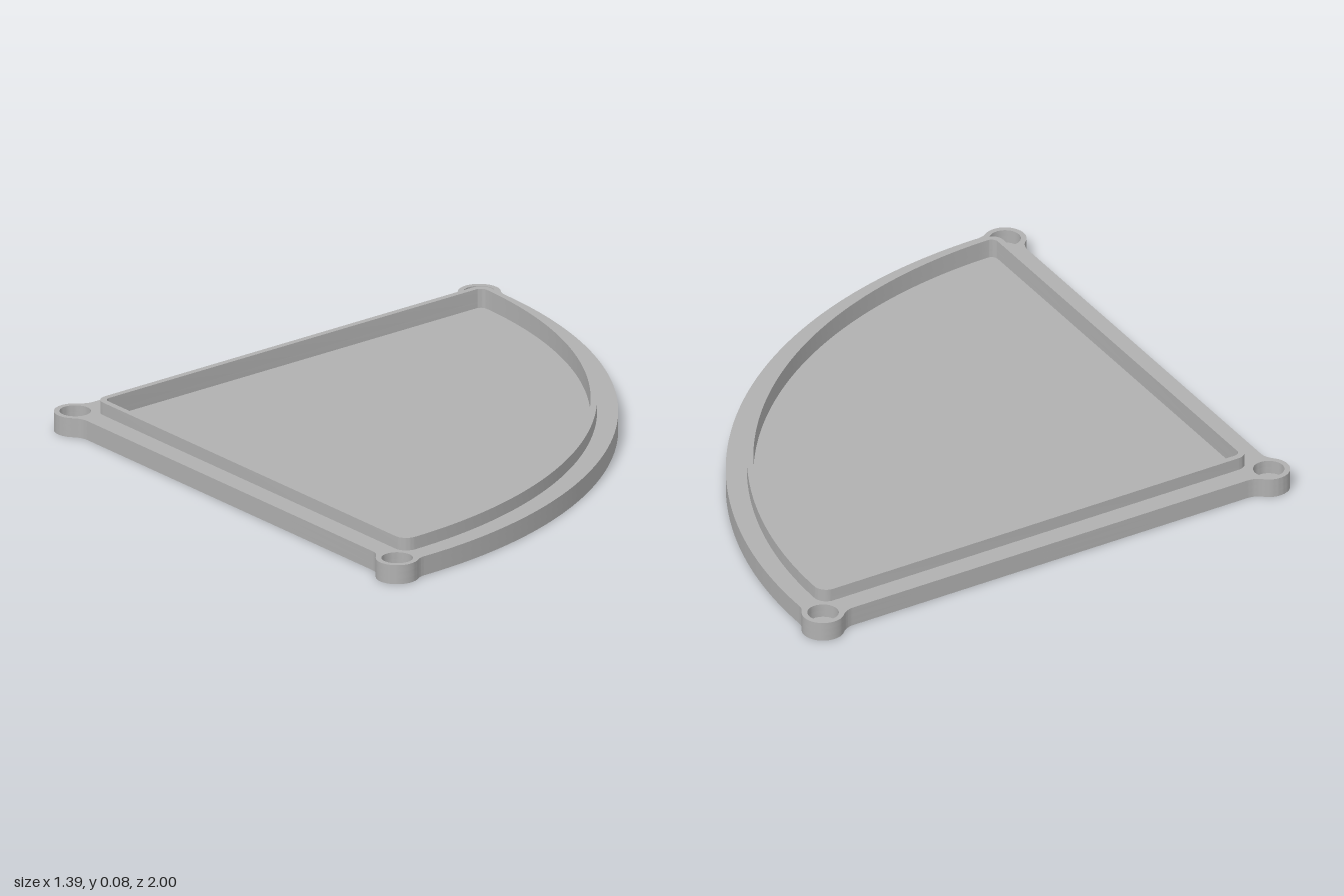
import * as THREE from 'three';
import { toCreasedNormals } from 'three/addons/utils/BufferGeometryUtils.js';

const V = (x, y) => new THREE.Vector2(x, y);
const A = V(-0.645, 0);            // apex hole centre
const C = V(0.256, 0.946);         // upper corner hole centre (mirrored for the lower one)
const theta = Math.atan2(C.y - A.y, C.x - A.x);
const D = A.distanceTo(C);
const u = V(Math.cos(theta), Math.sin(theta)); // along the straight edge
const n = V(-u.y, u.x);                        // outward from the straight edge
const angle = (from, to) => Math.atan2(to.y - from.y, to.x - from.x);
const at = (p, s, t) => V(p.x + s * u.x + t * n.x, p.y + s * u.y + t * n.y);

// Points on an arc from a0 to a1, turning in direction dir (1 = anticlockwise)
function arc(c, r, a0, a1, dir, steps) {
  while ((a1 - a0) * dir < 0) a1 += dir * 2 * Math.PI;
  while ((a1 - a0) * dir > 2 * Math.PI) a1 -= dir * 2 * Math.PI;
  return Array.from({ length: steps + 1 }, (_, i) => {
    const a = a0 + (a1 - a0) * i / steps;
    return V(c.x + r * Math.cos(a), c.y + r * Math.sin(a));
  });
}

// Close a half outline (from the +x axis round to the -x axis) by mirroring it
const mirrored = (half) =>
  half.concat(half.slice(1, -1).reverse().map((p) => V(p.x, -p.y)));

// Quarter-disc plate with a round boss blended into each corner
function plateOutline() {
  const R = 1.34, r = 0.053, f = 0.05, e = 0.02;
  const delta = Math.acos((D * D + (R + f) ** 2 - (r + f) ** 2) / (2 * D * (R + f)));
  const phi = theta - delta;
  const s = Math.sqrt((r + f) ** 2 - (e + f) ** 2);
  const F1 = V(A.x + (R + f) * Math.cos(phi), (R + f) * Math.sin(phi));
  const F2 = at(C, -s, e + f);
  const F3 = at(A, s, e + f);
  return mirrored([
    ...arc(A, R, 0, phi, 1, 40),
    ...arc(F1, f, phi + Math.PI, angle(F1, C), -1, 8).slice(1),
    ...arc(C, r, angle(C, F1), angle(C, F2), 1, 20).slice(1),
    ...arc(F2, f, angle(F2, C), theta - Math.PI / 2, -1, 8).slice(1),
    ...arc(F3, f, theta - Math.PI / 2, angle(F3, A), -1, 8),
    ...arc(A, r, angle(A, F3), Math.PI, 1, 12).slice(1),
  ]);
}

// Rounded sector: arc radius R, straight sides d inside the hole line, corner radius q
function sectorOutline(R, d, q) {
  const s = Math.sqrt((R - q) ** 2 - (d + q) ** 2);
  const K = at(A, s, -(d + q));
  const P = V(A.x + (d + q) / Math.sin(theta), 0);
  const k = angle(A, K);
  return mirrored([
    ...arc(A, R, 0, k, 1, 40),
    ...arc(K, q, k, theta + Math.PI / 2, 1, 10).slice(1),
    ...arc(P, q, theta + Math.PI / 2, Math.PI, 1, 6),
  ]);
}

export function createModel() {
  const group = new THREE.Group();
  group.name = 'sectorTray';
  const grey = new THREE.MeshStandardMaterial({ color: 0xb0b0b0 });
  grey.name = 'grey';

  // Extrude an outline with holes upwards from y0 to y1
  function layer(name, outline, holes, y0, y1) {
    const shape = new THREE.Shape(outline);
    shape.holes = holes.map((h) => new THREE.Path(h));
    let geo = new THREE.ExtrudeGeometry(shape, { depth: y1 - y0, bevelEnabled: false });
    geo.rotateX(-Math.PI / 2);
    geo.translate(0, y0, 0);
    geo = toCreasedNormals(geo, 0.6);
    const mesh = new THREE.Mesh(geo, grey);
    mesh.name = name;
    group.add(mesh);
  }

  const plate = plateOutline();
  const lipOuter = sectorOutline(1.288, 0.036, 0.033);
  const recess = sectorOutline(1.272, 0.052, 0.018);
  const sockets = [A, C, V(C.x, -C.y)].map((c) =>
    arc(c, 0.039, 0, 2 * Math.PI, 1, 32).slice(0, -1));

  layer('bottomPlate', plate, [], 0, 0.015);                       // closed underside
  layer('floorPlate', plate, sockets, 0.015, 0.033);               // recess floor
  layer('border', plate, [recess, ...sockets], 0.033, 0.05);       // rim with corner sockets
  layer('raisedLip', lipOuter, [recess], 0.05, 0.083);             // thin wall round the recess
  return group;
}
